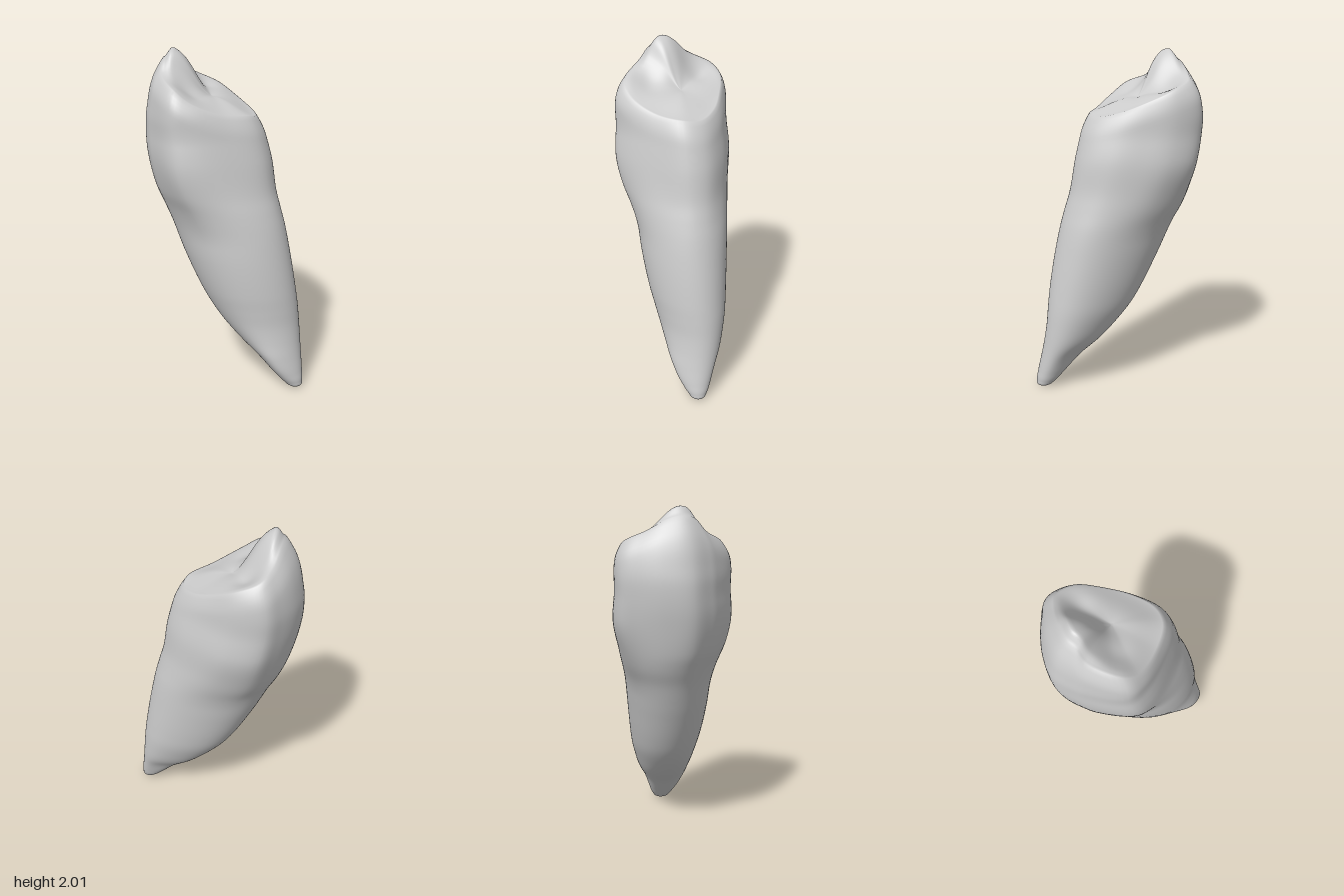
import * as THREE from 'three';
import { mergeVertices } from 'three/addons/utils/BufferGeometryUtils.js';

// Horizontal section at each height: xMin, xMax, zMin, zMax, skew of the oval
const heights = [0, 0.01, 0.04, 0.1, 0.2, 0.3, 0.4, 0.5, 0.6, 0.8, 1, 1.1, 1.2, 1.4, 1.6, 1.7, 1.8, 1.95, 2.05];
const sections = [
  0.295, 0.305, 0.425, 0.435, 0,
  0.26, 0.33, 0.39, 0.46, 0,
  0.225, 0.345, 0.35, 0.469, 0,
  0.175, 0.357, 0.295, 0.463, 0,
  0.105, 0.37, 0.205, 0.443, 0.04,
  0.025, 0.38, 0.09, 0.424, 0.1,
  -0.045, 0.383, 0, 0.41, 0.14,
  -0.1, 0.382, -0.075, 0.404, 0.15,
  -0.145, 0.375, -0.13, 0.398, 0.15,
  -0.215, 0.357, -0.22, 0.375, 0.15,
  -0.27, 0.335, -0.305, 0.34, 0.15,
  -0.305, 0.317, -0.36, 0.317, 0.15,
  -0.345, 0.3, -0.4, 0.29, 0.15,
  -0.385, 0.28, -0.45, 0.255, 0.15,
  -0.378, 0.235, -0.467, 0.215, 0.15,
  -0.36, 0.215, -0.455, 0.195, 0.15,
  -0.342, 0.205, -0.43, 0.16, 0.15,
  -0.29, 0.15, -0.36, 0.05, 0.15,
  -0.25, 0.1, -0.31, 0, 0.15,
];

// Crown outline: normalised x, height of the rim, normalised z
const outline = [
  [-1, 1.88, -0.08], [-0.93, 1.81, 0.57], [-0.63, 1.74, 0.79], [0, 1.67, 0.95], [0.6, 1.65, 0.97],
  [0.9, 1.64, 0.75], [1, 1.67, 0.3], [0.91, 1.73, -0.2], [0.73, 1.79, -0.66], [0.37, 1.84, -1],
  [0, 1.88, -1], [-0.45, 1.94, -0.89], [-0.85, 1.96, -0.64], [-0.97, 1.94, -0.3],
];

// Raised and sunken areas of the chewing surface: x, z, height, radius
const relief = [
  [-0.21, -0.25, 0.065, 0.14], // main cusp
  [-0.13, -0.17, 0.04, 0.08], // central ridge
  [-0.2, -0.03, -0.03, 0.08], // left hollow
  [0.02, -0.27, -0.03, 0.08], // back hollow
];

function createToothGeometry() {
  const SIDES = 84, ROWS = 100, CAP = 24;
  const { smoothstep, lerp } = THREE.MathUtils;
  const section = new THREE.CubicInterpolant(heights, sections, 5);
  const curve = new THREE.CatmullRomCurve3(outline.map((p) => new THREE.Vector3(...p)), true);
  const across = new THREE.Vector3(0.819, 0, -0.574);

  // Point on the outer wall: oval root blending into the squarer crown
  const wall = (q, y) => {
    const [x0, x1, z0, z1, skew] = section.evaluate(y);
    const crown = smoothstep(y, 0.9, 1.4);
    const a = Math.atan2(q.z, q.x);
    // the wall curves inward just below the rim
    const inset = 1 - 0.08 * Math.max(0, 1 - (q.y - y) / 0.12) ** 2;
    const nx = lerp(Math.cos(a - skew), q.x, crown) * inset;
    const nz = lerp(Math.sin(a + skew), q.z, crown) * inset;
    const p = new THREE.Vector3((x0 + x1 + nx * (x1 - x0)) / 2, y, (z0 + z1 + nz * (z1 - z0)) / 2);
    // the root is fuller on its front left flank than on the opposite one
    const flank = ((nx - nz) ** 2 / 2) ** 2;
    p.addScaledVector(across, -0.03 * flank * (1 - crown) * smoothstep(y, 0, 0.25));
    // the two side corners stay wide up to the rim
    return p.addScaledVector(across, 0.1 * smoothstep(y, 1.5, 1.75) * (p.dot(across) - 0.03));
  };

  // Point on the chewing surface, f running from the rim to the pit
  const pit = new THREE.Vector3(-0.02, 1.735, -0.09);
  const chewing = (rim, f) => {
    const p = rim.clone().lerp(pit, f);
    p.y = lerp(rim.y, pit.y, lerp(f, smoothstep(f, 0, 1), 0.75)) + 0.015 * Math.sin(Math.PI * f);
    const fade = smoothstep(f, 0, 0.2);
    for (const [x, z, h, r] of relief) {
      p.y += fade * h * Math.exp(-((p.x - x) ** 2 + (p.z - z) ** 2) / (r * r));
    }
    return p;
  };

  const positions = [], index = [];
  for (let j = 0; j <= ROWS + CAP; j++) {
    for (let i = 0; i < SIDES; i++) {
      const q = curve.getPoint(i / SIDES);
      const p = j <= ROWS
        ? wall(q, q.y * (j / ROWS) ** 1.4)
        : chewing(wall(q, q.y), (j - ROWS) / CAP);
      if (j === 0) p.set(0.3, 0, 0.43);
      positions.push(p.x, p.y, p.z);
      if (j < ROWS + CAP) {
        const a = j * SIDES + i, b = j * SIDES + (i + 1) % SIDES;
        if (j > 0) index.push(a, b, b + SIDES);
        if (j < ROWS + CAP - 1) index.push(a, b + SIDES, a + SIDES);
      }
    }
  }
  const geometry = new THREE.BufferGeometry();
  geometry.setAttribute('position', new THREE.Float32BufferAttribute(positions, 3));
  geometry.setIndex(index);
  const merged = mergeVertices(geometry, 1e-5);
  merged.computeVertexNormals();
  return merged;
}

export function createModel() {
  const group = new THREE.Group();
  group.name = 'tooth';
  const tooth = new THREE.Mesh(
    createToothGeometry(),
    new THREE.MeshStandardMaterial({ color: 0xcccccc }),
  );
  tooth.name = 'crownAndRoot';
  group.add(tooth);
  return group;
}
